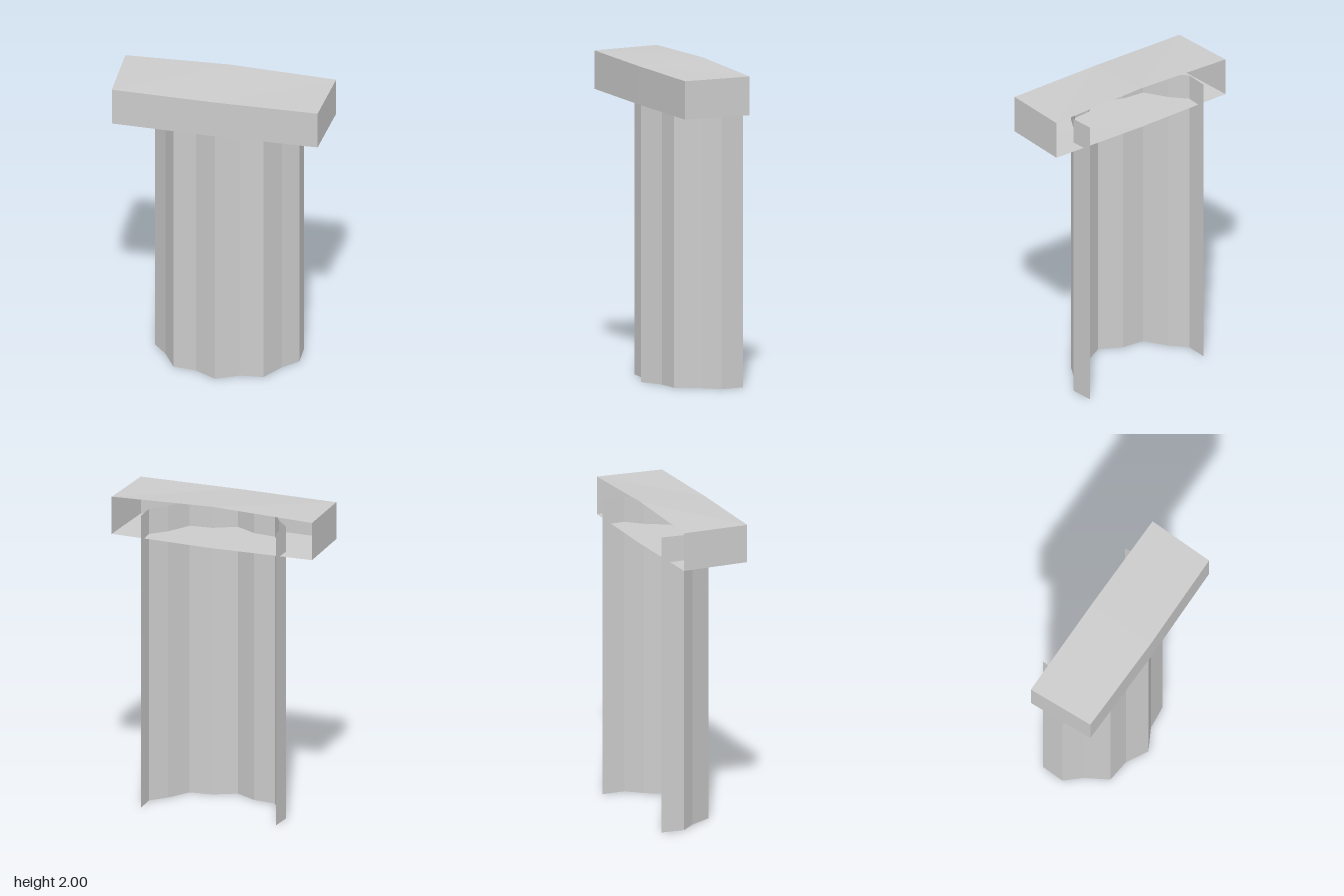
import * as THREE from 'three';

const material = new THREE.MeshStandardMaterial({
  color: 0xcccccc, flatShading: true, side: THREE.DoubleSide,
});

// Flat-shaded skin between successive rows of points
function loft(name, rows, extraQuads = []) {
  const pos = [];
  const quad = (a, b, c, d) => pos.push(...a, ...b, ...c, ...a, ...c, ...d);
  for (let i = 0; i < rows.length - 1; i++) {
    for (let j = 0; j < rows[i].length - 1; j++) {
      quad(rows[i][j], rows[i + 1][j], rows[i + 1][j + 1], rows[i][j + 1]);
    }
  }
  extraQuads.forEach((q) => quad(...q));
  const geometry = new THREE.BufferGeometry();
  geometry.setAttribute('position', new THREE.Float32BufferAttribute(pos, 3));
  geometry.computeVertexNormals();
  const mesh = new THREE.Mesh(geometry, material);
  mesh.name = name;
  return mesh;
}

export function createModel() {
  const group = new THREE.Group();
  group.name = 'halfColumn';

  // Fluted half shaft, open at the back, top and bottom: [x, z] from centre to side
  const half = [[0, 0.23], [0.138, 0.155], [0.285, 0.14], [0.37, -0.005], [0.457, -0.1], [0.45, -0.25]];
  const mirrored = half.slice(1).reverse().map(([x, z]) => [-x, z]);
  const outline = [...mirrored, ...half];
  group.add(loft('flutedShaft', outline.map(([x, z]) => [[x, 0, z], [x, 1.9, z]])));

  // Capital block, open at the back, slightly bowed towards its middle
  const section = (s) => {
    const mid = s === 0;
    const xb = s * 0.668, xf = s * 0.652, zf = mid ? 0.25 : 0.24;
    return [
      [xb, mid ? 1.73 : 1.738, -0.193],
      [xf, 1.738, zf],
      [xf, 1.978, zf],
      [xb, mid ? 2 : 1.98, -0.193],
    ];
  };
  const rows = [-1, 0, 1].map(section);
  group.add(loft('capital', rows, [[...rows[0]], [...rows[2]].reverse()]));

  return group;
}
